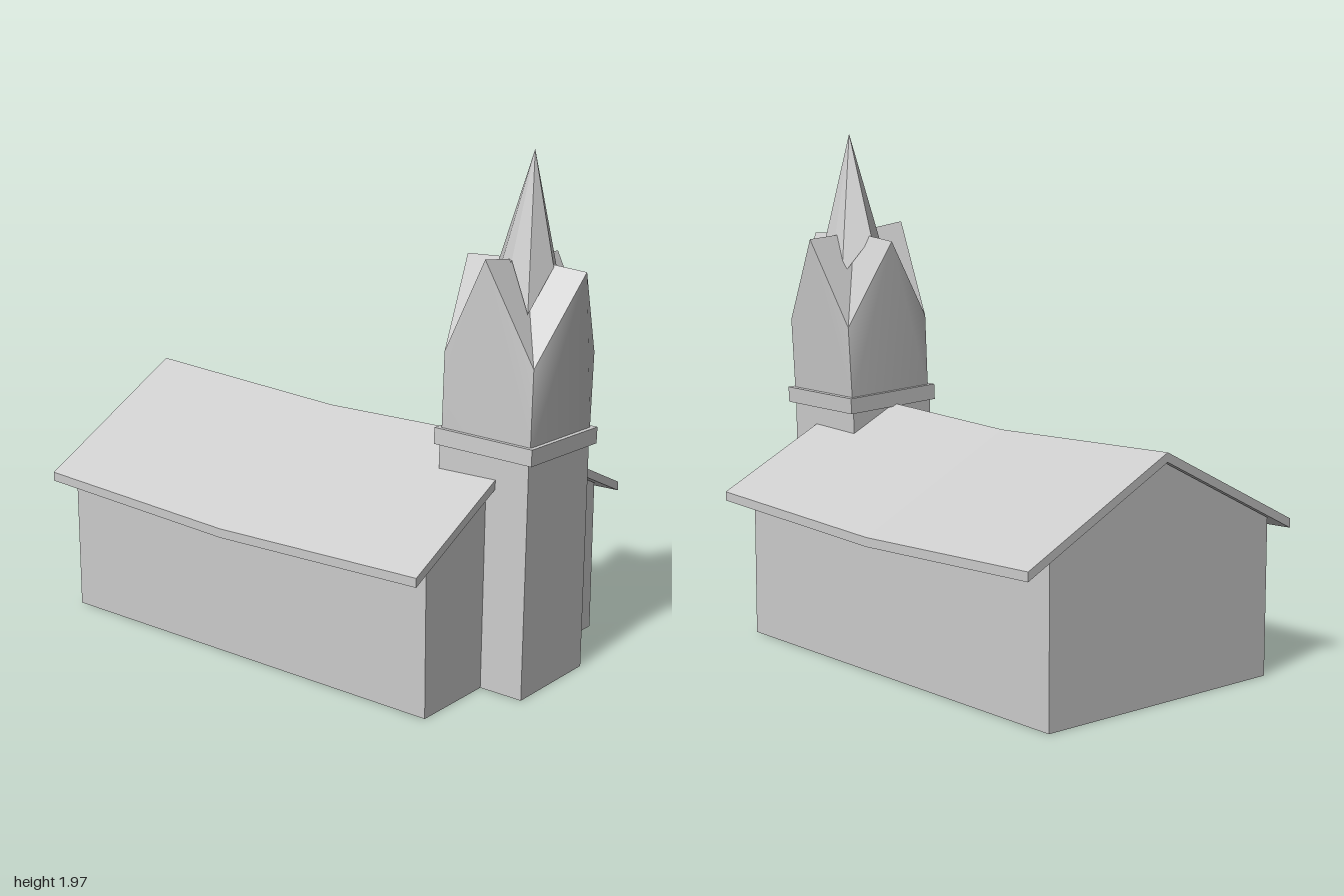
import * as THREE from 'three';

const material = (flat) => new THREE.MeshStandardMaterial({ color: 0xcccccc, flatShading: flat, side: THREE.DoubleSide });

// Mesh from a few corner points and triangles
function facets(name, points, faces, flat = true) {
  const g = new THREE.BufferGeometry();
  g.setAttribute('position', new THREE.Float32BufferAttribute(points.flat(), 3));
  g.setIndex(faces.flat());
  const geo = flat ? g.toNonIndexed() : g;
  geo.computeVertexNormals();
  const mesh = new THREE.Mesh(geo, material(flat));
  mesh.name = name;
  return mesh;
}

// Skin between successive rings; skip lists ring edges left open
function loft(name, rings, { skip = [], cap = null } = {}) {
  const n = rings[0].length, faces = [];
  for (let i = 0; i < rings.length - 1; i++) {
    for (let j = 0; j < n; j++) {
      if (skip.includes(j)) continue;
      const a = i * n + j, b = i * n + (j + 1) % n;
      faces.push([a, a + n, b], [b, a + n, b + n]);
    }
  }
  if (cap) {
    const last = (rings.length - 1) * n;
    for (const [a, b, c] of THREE.ShapeUtils.triangulateShape(cap, [])) {
      faces.push([a, b, c], [last + a, last + c, last + b]);
    }
  }
  return facets(name, rings.flat(), faces);
}

const rect = (x0, x1, z0, z1, y) => [[x1, y, z1], [x0, y, z1], [x0, y, z0], [x1, y, z0]];
const toVec2 = (section) => section.map(([x, y]) => new THREE.Vector2(x, y));

export function createModel() {
  const model = new THREE.Group();
  model.name = 'chapel';

  // Nave walls: open underneath, tops follow the sagging roof
  const wall = [[-0.54, 0], [0.54, 0], [0.54, 0.6], [0, 0.87], [-0.54, 0.6]];
  const wallRing = (z, sag) => wall.map(([x, y]) => [x, y > 0 ? y - sag : 0, z]);
  model.add(loft('naveWalls', [wallRing(0.75, 0.003), wallRing(-0.12, 0.03), wallRing(-0.985, 0)],
    { skip: [0, 2, 3], cap: toVec2(wall) }));

  // Roof slab with a dip halfway along the ridge
  const slab = [[0, 0.905], [-0.65, 0.58], [-0.65, 0.545], [-0.62, 0.56], [0, 0.87],
    [0.62, 0.56], [0.65, 0.545], [0.65, 0.58]];
  const slabRing = (z, dy) => slab.map(([x, y]) => [x, y + dy, z]);
  model.add(loft('roof', [slabRing(0.79, 0), slabRing(-0.12, -0.03), slabRing(-1, 0.003)],
    { cap: toVec2(slab) }));

  // Bell tower shaft, leaning slightly
  model.add(loft('towerShaft', [
    rect(-0.2, 0.195, 0.54, 0.93, 0),
    rect(-0.185, 0.205, 0.54, 0.93, 0.92),
  ]));

  // Tilted collar
  const collar = new THREE.Mesh(new THREE.BoxGeometry(0.425, 0.062, 0.425), material(true));
  collar.name = 'towerCollar';
  collar.position.set(0.015, 0.918, 0.737);
  collar.rotation.z = -0.045;
  model.add(collar);

  // Belfry: four flared gables, with roofs running in to the centre
  const belfry = new THREE.Group();
  belfry.name = 'belfry';
  const base = rect(-0.178, 0.208, 0.543, 0.93, 0.93);
  const eaves = [[0.225, 1.22, 0.928], [-0.165, 1.24, 0.928], [-0.165, 1.24, 0.543], [0.225, 1.22, 0.543]];
  const peaks = [[0.045, 1.56, 1], [-0.195, 1.61, 0.735], [0.05, 1.555, 0.485], [0.27, 1.56, 0.73]];
  const centre = [0.035, 1.575, 0.75];
  peaks.forEach((peak, i) => {
    const k = (i + 1) % 4;
    belfry.add(facets('gable', [base[i], base[k], eaves[i], eaves[k], peak],
      [[0, 4, 1], [0, 2, 4], [1, 4, 3]], false));
    belfry.add(facets('gableRoof', [eaves[i], peak, centre, eaves[k]], [[0, 2, 1], [1, 2, 3]]));
  });
  model.add(belfry);

  // Spire with eight facets seated in the valleys and on the ridges
  const foot = [[0.035, 1.56, 0.868], [-0.095, 1.41, 0.85], [-0.062, 1.585, 0.755], [-0.085, 1.41, 0.675],
    [0.035, 1.56, 0.635], [0.155, 1.41, 0.675], [0.13, 1.565, 0.75], [0.165, 1.41, 0.825]];
  model.add(facets('spire', [...foot, [0.036, 1.97, 0.777]],
    foot.map((_, i) => [i, 8, (i + 1) % 8])));

  return model;
}
